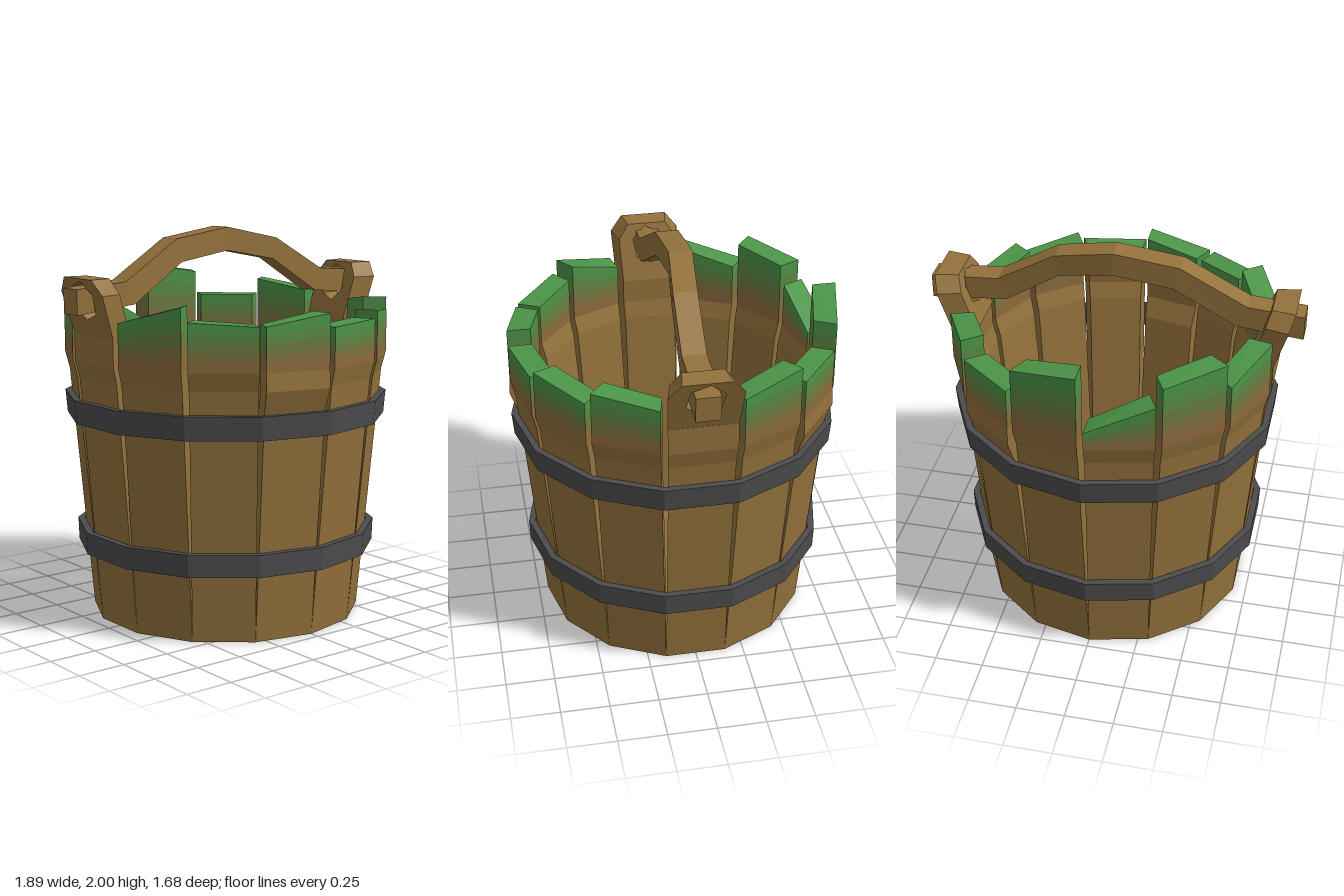
import * as THREE from 'three';

const mat = (name, color, extra = {}) => {
  const m = new THREE.MeshStandardMaterial({ color });
  m.name = name;
  m.flatShading = true;
  return Object.assign(m, extra);
};

// Joins four-cornered sections into a solid; matIndex(i) picks the material of row i
function loft(sections, matIndex = () => 0) {
  const pos = [];
  const geo = new THREE.BufferGeometry();
  const quad = (a, b, c, d) => pos.push(...a, ...b, ...c, ...a, ...c, ...d);
  const last = sections.length - 1;
  const [s0, s1] = [sections[0], sections[last]];
  quad(s0[3], s0[2], s0[1], s0[0]);
  geo.addGroup(0, 6, matIndex(0));
  for (let i = 0; i < last; i++) {
    const [lo, hi] = [sections[i], sections[i + 1]];
    geo.addGroup(pos.length / 3, 24, matIndex(i));
    for (let k = 0; k < 4; k++) quad(lo[k], lo[(k + 1) % 4], hi[(k + 1) % 4], hi[k]);
  }
  geo.addGroup(pos.length / 3, 6, matIndex(last - 1));
  quad(s1[0], s1[1], s1[2], s1[3]);
  geo.setAttribute('position', new THREE.Float32BufferAttribute(pos, 3));
  geo.computeVertexNormals();
  return geo;
}

export function createModel() {
  const model = new THREE.Group();
  model.name = 'bucket';
  const add = (name, geo, material) => {
    const mesh = new THREE.Mesh(geo, material);
    mesh.name = name;
    model.add(mesh);
    return mesh;
  };

  const wood = mat('wood', 0x94723c);
  const iron = mat('iron', 0x4c4c4e);
  // Wood fading to moss towards the rim
  const fade = [
    wood,
    mat('dampWood', 0x8e6a3c),
    mat('mossyWood', 0x7f713e),
    mat('thinMoss', 0x6b7d41),
    mat('denseMoss', 0x598a44),
    mat('moss', 0x4c9548),
  ];

  const COUNT = 14;
  const STEP = (Math.PI * 2) / COUNT;
  const THICK = 0.12;

  // Rim height at both edges of each stave, going round from the front; null is a handle stave
  const rims = [
    [1.56, 1.57], [1.61, 1.575], [1.64, 1.6], null, [1.62, 1.67], [1.58, 1.58], [1.71, 1.76],
    [1.46, 1.6], [1.7, 1.73], [1.59, 1.66], null, [1.58, 1.67], [1.6, 1.58], [1.58, 1.63],
  ];
  const earlyBend = [5, 13];

  rims.forEach((rim, i) => {
    const angle = (i + 0.5) * STEP;
    const [s, c] = [Math.sin(angle), Math.cos(angle)];
    const [h0, h1] = rim || [1.5, 1.5];

    // One horizontal slice: outer edge pair, then inner edge pair
    const slice = (r, y0, y1) => {
      const gap = 0.016 * Math.min(1, y0 / 1.2);
      const corner = (radius, side, y) => {
        const u = radius * Math.cos(STEP / 2);
        const t = side * (radius * Math.sin(STEP / 2) - gap);
        return [u * s + t * c, y, u * c - t * s];
      };
      return [corner(r, -1, y0), corner(r, 1, y1), corner(r - THICK, 1, y1), corner(r - THICK, -1, y0)];
    };

    const sections = [
      slice(0.7, 0, 0),
      slice(0.805, 1.16, 1.16),
      slice(earlyBend.includes(i) ? 0.843 : 0.815, 1.27, 1.27),
      slice(0.838, 1.36, 1.36),
    ];
    const rows = 5;
    for (let k = 1; k <= rows; k++) {
      const f = k / rows;
      sections.push(slice(0.838, 1.36 + (h0 - 1.36) * f, 1.36 + (h1 - 1.36) * f));
    }
    const geo = loft(sections, (row) => (rim ? Math.max(0, row - 2) : 0));
    add(rim ? 'stave' : 'handleStave', geo, fade);
  });

  // Floor
  const floor = new THREE.CylinderGeometry(0.62, 0.6, 0.158, COUNT);
  floor.translate(0, 0.081, 0);
  add('floor', floor, wood);

  // Iron hoops
  const hoop = (name, y0, y1, r0, r1) => {
    const t = 0.035;
    const profile = [[r0, y0], [r1, y1], [r1 - t, y1], [r0 - t, y0], [r0, y0]];
    add(name, new THREE.LatheGeometry(profile.map((p) => new THREE.Vector2(...p)), COUNT), iron);
  };
  hoop('lowerHoop', 0.35, 0.465, 0.778, 0.782);
  hoop('upperHoop', 1.035, 1.155, 0.828, 0.838);

  // Outward-leaning ears with a six-sided hole for the handle
  for (const side of [1, -1]) {
    const outline = [[-0.17, 1.49], [0.17, 1.49], [0.182, 1.71], [0.12, 1.785], [-0.12, 1.785], [-0.182, 1.71]];
    const shape = new THREE.Shape(outline.map((p) => new THREE.Vector2(...p)));
    const hole = [];
    for (let k = 0; k < 6; k++) {
      const a = -(k * Math.PI) / 3 + 0.35;
      hole.push(new THREE.Vector2(Math.cos(a) * 0.098, 1.675 + Math.sin(a) * 0.098));
    }
    shape.holes.push(new THREE.Path(hole));
    const geo = new THREE.ExtrudeGeometry(shape, { depth: 1, bevelEnabled: false });
    const p = geo.attributes.position;
    for (let k = 0; k < p.count; k++) {
      const [x, y, z] = [p.getX(k), p.getY(k), p.getZ(k)];
      p.setXYZ(k, x * (0.84 + 0.16 * z), y, 0.695 + 0.118 * z + (y - 1.49) * 0.31);
    }
    geo.rotateY((side * Math.PI) / 2);
    geo.computeVertexNormals();
    add(side > 0 ? 'leftEar' : 'rightEar', geo, wood);
  }

  // Bent handle: top x, top y, bottom x, bottom y, centre z
  const bail = [
    [-0.945, 1.737, -0.945, 1.612, 0],
    [-0.66, 1.76, -0.61, 1.645, 0],
    [-0.33, 1.953, -0.3, 1.835, -0.03],
    [0, 2, 0, 1.88, -0.04],
    [0.3, 1.935, 0.28, 1.825, -0.008],
    [0.6, 1.76, 0.56, 1.645, 0.005],
    [0.945, 1.737, 0.945, 1.612, 0.005],
  ];
  const w = 0.06;
  add('handle', loft(bail.map(([tx, ty, bx, by, z]) => [
    [bx, by, z - w], [tx, ty, z - w], [tx, ty, z + w], [bx, by, z + w],
  ])), wood);

  return model;
}
